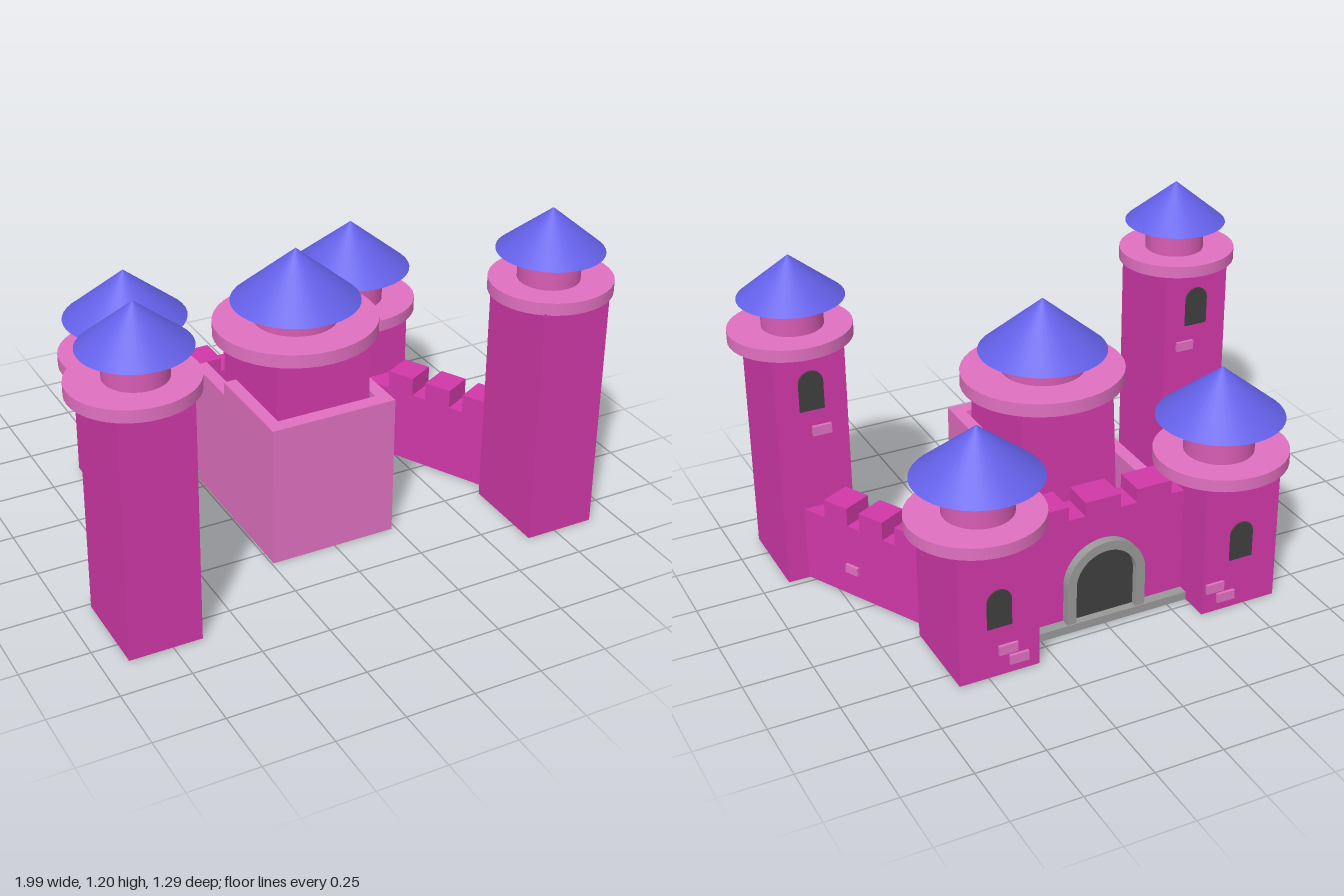
import * as THREE from 'three';

const mat = (color) => new THREE.MeshStandardMaterial({ color });
const magenta = mat(0xd038a8), pink = mat(0xe070c0), rose = mat(0xd85cb4);
const blue = mat(0x6460e8), grey = mat(0x999999), dark = mat(0x404040);

function add(parent, name, geometry, material, x = 0, y = 0, z = 0) {
  const mesh = new THREE.Mesh(geometry, material);
  mesh.name = name;
  mesh.position.set(x, y, z);
  parent.add(mesh);
  return mesh;
}

// Box given by its centre in x and z and its bottom and top heights
function block(parent, name, material, x, z, w, d, y0, y1) {
  return add(parent, name, new THREE.BoxGeometry(w, y1 - y0, d), material, x, (y0 + y1) / 2, z);
}

function drum(parent, name, material, x, z, rx, rz, y0, y1) {
  const mesh = add(parent, name, new THREE.CylinderGeometry(rx, rx, y1 - y0, 40), material, x, (y0 + y1) / 2, z);
  mesh.scale.z = rz / rx;
}

// Round-headed outline standing on y = 0
function arch(path, r, height) {
  path.moveTo(-r, 0);
  path.lineTo(r, 0);
  path.lineTo(r, height - r);
  path.absarc(0, height - r, r, 0, Math.PI, false);
  path.lineTo(-r, 0);
  return path;
}

const extrude = (shape, depth) =>
  new THREE.ExtrudeGeometry(shape, { depth, bevelEnabled: false, curveSegments: 16 });

// Disc, neck and conical roof that crown a tower
function crown(parent, x, z, disc, neck, roof, y) {
  drum(parent, 'parapet', pink, x + 0.01 * Math.sign(x), z, disc[0], disc[1], y[0], y[1]);
  drum(parent, 'neck', rose, x, z, neck, neck, y[1], y[2]);
  add(parent, 'roof', new THREE.ConeGeometry(roof, y[3] - y[2], 40), blue, x, (y[2] + y[3]) / 2, z);
}

// Arched window and bricks on the back face of a tower
function backDetails(parent, x, z, y, height, bricks) {
  add(parent, 'window', extrude(arch(new THREE.Shape(), 0.045, height), 0.02), dark, x, y, z - 0.007);
  for (const [bx, by] of bricks) block(parent, 'brick', pink, x + bx, z, 0.07, 0.025, by, by + 0.036);
}

function sideWall(side) {
  const wall = new THREE.Group();
  wall.name = 'sideWall';
  const w = 0.115;
  block(wall, 'wallBody', magenta, 0, 0, w, 0.74, 0.008, 0.292);
  for (let i = -1; i <= 1; i++) block(wall, 'merlon', magenta, 0, i * 0.16, w, 0.105, 0.292, 0.363);
  const spots = side > 0 ? [[0.09, 0.105]] : [[0.09, 0.105], [-0.19, 0.1]];
  for (const [z, y] of spots) block(wall, 'brick', pink, side * w / 2, z, 0.024, 0.055, y, y + 0.032);
  wall.position.set(side * 0.632, 0, 0.022);
  wall.rotation.y = side * 0.48;
  return wall;
}

export function createModel() {
  const castle = new THREE.Group();
  castle.name = 'castle';
  const model = new THREE.Group();
  model.name = 'castleBody';
  model.position.x = -0.005;
  castle.add(model);

  for (const s of [-1, 1]) {
    // Tall front tower
    const tall = new THREE.Group();
    tall.name = 'tallTower';
    block(tall, 'towerBody', magenta, s * 0.772, 0.436, 0.262, 0.332, 0.004, 0.9);
    crown(tall, s * 0.767, 0.432, [0.22, 0.21], 0.109, 0.188, [0.895, 0.94, 1.045, 1.2]);
    backDetails(tall, s * 0.772, 0.27, 0.68, 0.15, [[s > 0 ? -0.03 : 0.045, 0.58]]);

    // Short back tower
    const short = new THREE.Group();
    short.name = 'shortTower';
    block(short, 'towerBody', magenta, s * 0.466, -0.412, 0.295, 0.335, 0.004, 0.52);
    crown(short, s * 0.461, -0.418, [0.241, 0.233], 0.124, 0.226, [0.515, 0.56, 0.69, 0.875]);
    backDetails(short, s * 0.466, -0.578, 0.2, 0.145,
      s > 0 ? [[-0.03, 0.088], [-0.07, 0.04]] : [[0.1, 0.088], [0.055, 0.04]]);
    model.add(tall, short, sideWall(s));

    // Side walls of the keep, stepping down towards the gate
    block(model, 'keepSideWall', pink, s * 0.214, 0.1, 0.048, 0.33, 0, 0.535);
    block(model, 'keepRearWall', pink, s * 0.214, -0.2425, 0.048, 0.355, 0, 0.485);
  }

  // Keep: front wall and tapered square tower with round top
  block(model, 'keepFrontWall', pink, 0, 0.2925, 0.476, 0.055, 0, 0.535);
  const taper = new THREE.CylinderGeometry(Math.SQRT1_2 * 1.8, Math.SQRT1_2 * 2, 1, 4, 1).toNonIndexed();
  taper.rotateY(Math.PI / 4);
  taper.scale(0.196, 0.72, 0.223);
  taper.computeVertexNormals();
  add(model, 'keepTower', taper, magenta, 0, 0.38, 0.03);
  crown(model, 0, 0.025, [0.295, 0.281], 0.15, 0.229, [0.73, 0.78, 0.85, 1.045]);

  // Gate wall with merlons, arch, door and sill
  block(model, 'gateWall', magenta, 0, -0.373, 0.66, 0.118, 0.008, 0.433);
  for (const x of [-0.2, 0, 0.2]) block(model, 'merlon', magenta, x, -0.373, 0.135, 0.118, 0.433, 0.486);
  const frame = arch(new THREE.Shape(), 0.152, 0.32);
  frame.holes.push(arch(new THREE.Path(), 0.117, 0.285));
  add(model, 'gateArch', extrude(frame, 0.15), grey, 0, 0.01, -0.465);
  add(model, 'gateDoor', extrude(arch(new THREE.Shape(), 0.125, 0.29), 0.15), dark, 0, 0.01, -0.44);
  block(model, 'gateSill', grey, 0, -0.385, 0.66, 0.17, 0.003, 0.034);

  return castle;
}
